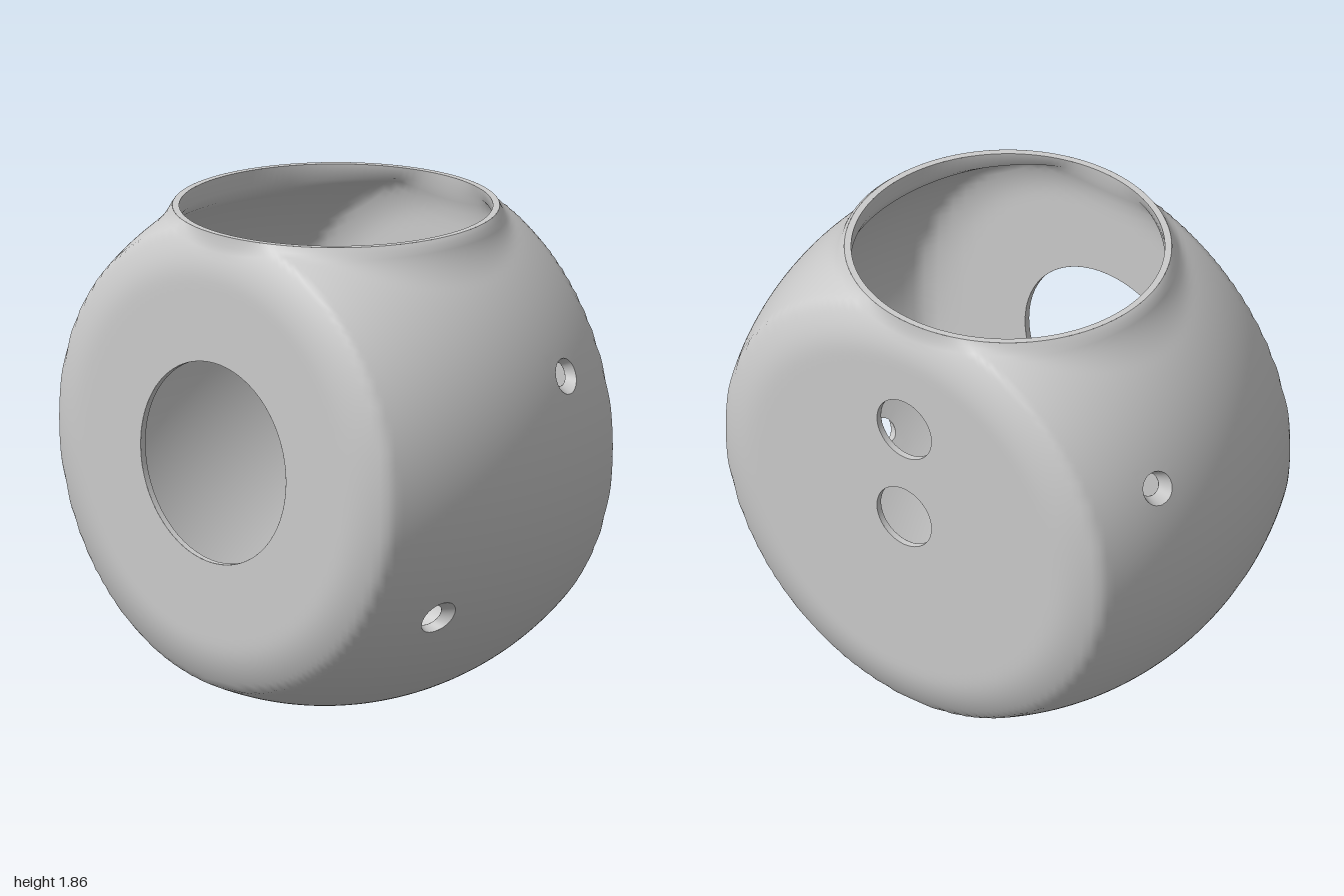
import * as THREE from 'three';

const RIM_Y = 0.86;   // rim height above the body centre
const LIFT = 1;       // body centre above the ground

// Drilled holes: axis, centre (u is x or z, v is height from the centre), outer and inner radius
const holes = [
  { axis: 'z', sign: 1, u: 0, v: 0, r: [0.38, 0.38] },
  { axis: 'z', sign: -1, u: 0, v: 0, r: [0.125, 0.125] },
  { axis: 'z', sign: -1, u: 0, v: 0.395, r: [0.125, 0.125] },
];
for (const sign of [-1, 1]) {
  holes.push({ axis: 'x', sign, u: -0.29, v: 0.33, r: [0.063, 0.042] });
  holes.push({ axis: 'x', sign, u: 0.29, v: -0.49, r: [0.063, 0.042] });
}

// Two skins of the thin shell
const outer = { index: 0, face: 0, side: 0, neck: 0.6, blend: 0.12, cols: 224, rows: 112 };
const inner = { index: 1, face: 0.025, side: 0.04, neck: 0.575, blend: 0.01, cols: 144, rows: 72 };

// Negative inside the skin: a flat-faced drum with bulging side, blended into an upright neck
function field(s, p) {
  const rho = Math.hypot(p.x, p.y);
  const over = Math.max(0, (rho - 0.68) / 0.19);
  const face = Math.abs(p.z) - (0.63 - 0.06 * over * over - s.face);
  const side = rho - (Math.sqrt(Math.max(0, 1.31 ** 2 - p.z ** 2)) - 0.31 - s.side);
  const body = Math.max(face, side);
  if (p.y < 0.2) return body;
  const neck = Math.hypot(p.x, p.z) - s.neck;
  const k = Math.max(0.008, s.blend * (1 - (p.z / 0.6) ** 2));
  const h = Math.max(k - Math.abs(body - neck), 0);
  return Math.min(body, neck) - h * h / (4 * k);
}

// Point where a ray leaves the skin
function hit(s, origin, dir) {
  let lo = 0, hi = 1.3;
  const p = new THREE.Vector3();
  for (let i = 0; i < 26; i++) {
    const mid = (lo + hi) / 2;
    p.copy(origin).addScaledVector(dir, mid);
    if (field(s, p) < 0) lo = mid; else hi = mid;
  }
  return p;
}

// Point on the edge of a hole at a given angle
function edgePoint(s, h, angle) {
  const u = h.u + h.r[s.index] * Math.cos(angle);
  const v = h.v + h.r[s.index] * Math.sin(angle);
  return h.axis === 'z'
    ? hit(s, new THREE.Vector3(u, v, 0), new THREE.Vector3(0, 0, h.sign))
    : hit(s, new THREE.Vector3(0, v, u), new THREE.Vector3(h.sign, 0, 0));
}

function toGeometry(points, index) {
  const g = new THREE.BufferGeometry().setFromPoints(points);
  g.setIndex(index);
  g.computeVertexNormals();
  return g;
}

// Grid from the rim down to the bottom pole; blocks of cells give way to rings around the holes
function skinGeometry(s) {
  const { cols, rows } = s;
  const top = Math.atan2(s.neck, RIM_Y);
  const points = [], index = [];
  const centre = new THREE.Vector3();
  const id = (i, j) => i * cols + ((j % cols) + cols) % cols;
  const tri = (a, b, c) => (s.index ? index.push(a, c, b) : index.push(a, b, c));

  for (let i = 0; i <= rows; i++) {
    const theta = top + (Math.PI - top) * i / rows;
    for (let j = 0; j < cols; j++) {
      const phi = 2 * Math.PI * j / cols;
      const dir = new THREE.Vector3().setFromSphericalCoords(1, theta, phi);
      const p = hit(s, centre, dir);
      if (i === 0) p.set(s.neck * Math.sin(phi), RIM_Y, s.neck * Math.cos(phi));
      p.y = Math.min(p.y, RIM_Y);
      points.push(p);
    }
  }

  const removed = new Set();
  for (const h of holes) {
    // Block of cells that encloses the hole
    const phi0 = h.axis === 'z' ? (h.sign > 0 ? 0 : Math.PI) : Math.atan2(h.sign * 0.9, h.u);
    let i0 = 1e9, i1 = -1e9, j0 = 1e9, j1 = -1e9;
    for (let n = 0; n < 64; n++) {
      const p = edgePoint(s, h, n * Math.PI / 32);
      let d = Math.atan2(p.x, p.z) - phi0;
      d = Math.atan2(Math.sin(d), Math.cos(d));
      const row = (Math.acos(p.y / p.length()) - top) / (Math.PI - top) * rows;
      const col = (phi0 + d) / (2 * Math.PI) * cols;
      i0 = Math.min(i0, row); i1 = Math.max(i1, row);
      j0 = Math.min(j0, col); j1 = Math.max(j1, col);
    }
    i0 = Math.floor(i0 - 0.3); i1 = Math.ceil(i1 + 0.3);
    j0 = Math.floor(j0 - 0.3); j1 = Math.ceil(j1 + 0.3);
    for (let i = i0; i < i1; i++) for (let j = j0; j < j1; j++) removed.add(id(i, j));

    // Ring from the block's border to the hole's edge
    const loop = [];
    for (let i = i0; i < i1; i++) loop.push(id(i, j0));
    for (let j = j0; j < j1; j++) loop.push(id(i1, j));
    for (let i = i1; i > i0; i--) loop.push(id(i, j1));
    for (let j = j1; j > j0; j--) loop.push(id(i0, j));
    const first = points.length;
    for (const k of loop) {
      const p = points[k];
      points.push(edgePoint(s, h, Math.atan2(p.y - h.v, p[h.axis === 'z' ? 'x' : 'z'] - h.u)));
    }
    loop.forEach((a, n) => {
      const m = (n + 1) % loop.length;
      tri(a, loop[m], first + m);
      tri(a, first + m, first + n);
    });
  }

  for (let i = 0; i < rows; i++) {
    for (let j = 0; j < cols; j++) {
      if (removed.has(id(i, j))) continue;
      tri(id(i, j), id(i + 1, j), id(i + 1, j + 1));
      tri(id(i, j), id(i + 1, j + 1), id(i, j + 1));
    }
  }
  return toGeometry(points, index);
}

// Wall of a hole, joining the two skins
function holeWallGeometry(h) {
  const N = 64, points = [], index = [];
  for (let n = 0; n < N; n++) {
    const a = 2 * Math.PI * n / N, m = (n + 1) % N;
    points.push(edgePoint(outer, h, a), edgePoint(inner, h, a));
    index.push(2 * n, 2 * n + 1, 2 * m + 1, 2 * n, 2 * m + 1, 2 * m);
  }
  return toGeometry(points, index);
}

export function createModel() {
  const group = new THREE.Group();
  const material = new THREE.MeshStandardMaterial({ color: 0xcccccc, side: THREE.DoubleSide });
  const add = (name, geometry) => {
    const mesh = new THREE.Mesh(geometry, material);
    mesh.name = name;
    mesh.position.y = LIFT;
    group.add(mesh);
  };

  add('outerShell', skinGeometry(outer));
  add('innerShell', skinGeometry(inner));

  // Flat lip of the neck
  const rim = new THREE.RingGeometry(inner.neck, outer.neck, 112);
  rim.rotateX(-Math.PI / 2).translate(0, RIM_Y, 0);
  add('neckRim', rim);

  const names = ['frontHoleWall', 'backHoleWall', 'upperBackHoleWall'];
  holes.forEach((h, n) => add(names[n] ?? (h.sign > 0 ? 'leftHoleWall' : 'rightHoleWall'), holeWallGeometry(h)));
  return group;
}
